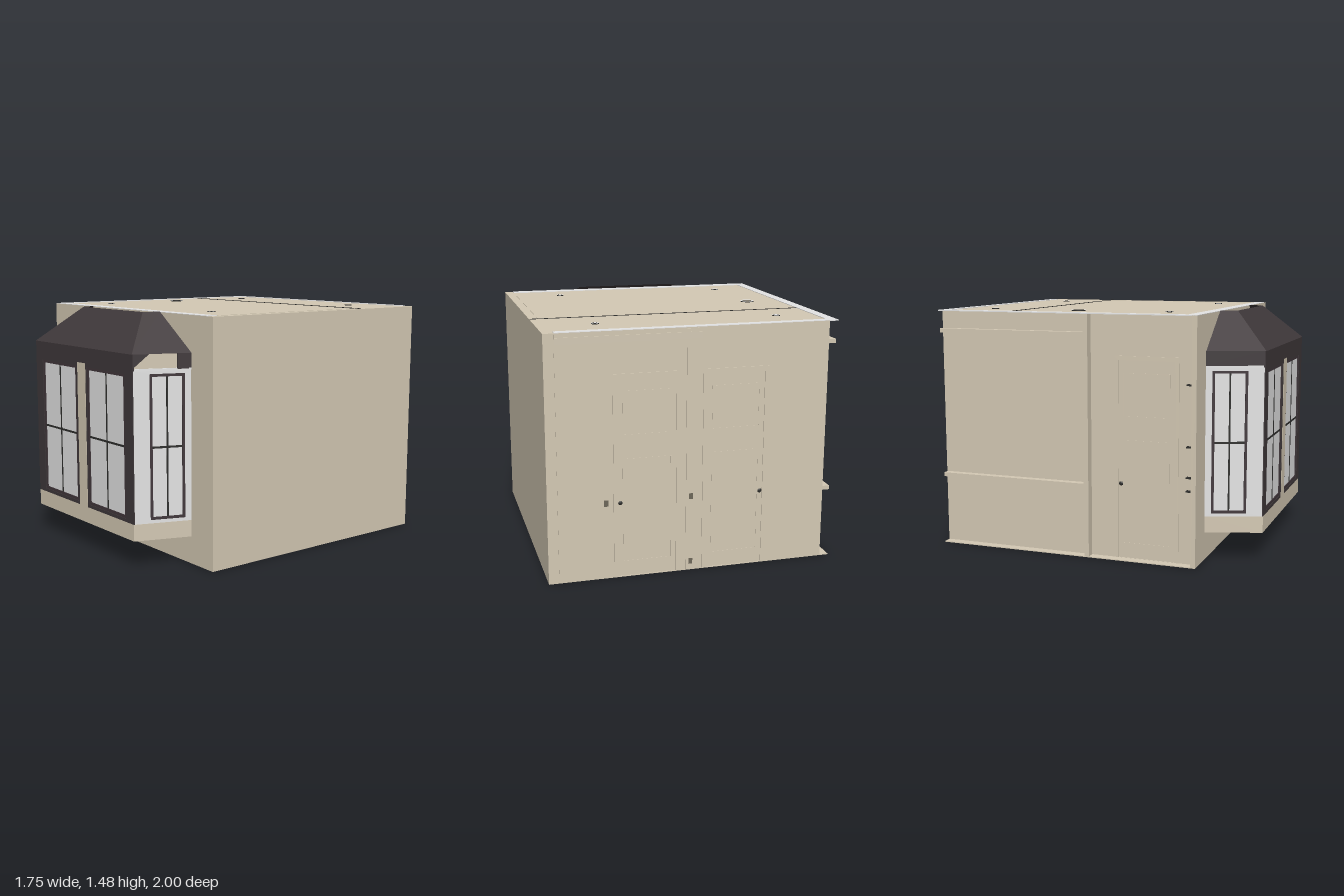
import * as THREE from 'three';

const mat = (name, color, side = THREE.FrontSide) => {
  const m = new THREE.MeshStandardMaterial({ color, side });
  m.name = name;
  return m;
};
const M = {
  wall: mat('tanWall', 0xd4c9b4),
  dark: mat('darkFrame', 0x3f383a, THREE.DoubleSide),
  sash: mat('sashBrown', 0x41373b),
  muntin: mat('muntinBlack', 0x2d2d2b, THREE.DoubleSide),
  grey: mat('lightGrey', 0xe4e4e4),
  white: mat('whiteTrim', 0xffffff),
  shade: mat('shadedTan', 0x6d6759),
};

function add(parent, name, geo, material, x = 0, y = 0, z = 0) {
  const mesh = new THREE.Mesh(geo, material);
  mesh.name = name;
  mesh.position.set(x, y, z);
  parent.add(mesh);
  return mesh;
}
// Box given by its low and high corners
function box(parent, name, m, x0, x1, y0, y1, z0, z1) {
  return add(parent, name, new THREE.BoxGeometry(x1 - x0, y1 - y0, z1 - z0), m,
    (x0 + x1) / 2, (y0 + y1) / 2, (z0 + z1) / 2);
}
// Upright prism over a plan outline of [x, z] points
function prism(parent, name, m, plan, y0, y1) {
  const s = new THREE.Shape(plan.map(([x, z]) => new THREE.Vector2(x, -z)));
  const g = new THREE.ExtrudeGeometry(s, { depth: y1 - y0, bevelEnabled: false });
  return add(parent, name, g.rotateX(-Math.PI / 2), m, 0, y0, 0);
}
const rectPoints = (x0, x1, y0, y1) =>
  [[x0, y0], [x1, y0], [x1, y1], [x0, y1]].map(p => new THREE.Vector2(...p));
// Flat plate in x, y with rectangular holes
function plate(parent, name, m, r, holes, depth, z) {
  const s = new THREE.Shape(rectPoints(...r));
  holes.forEach(h => s.holes.push(new THREE.Path(rectPoints(...h))));
  return add(parent, name, new THREE.ExtrudeGeometry(s, { depth, bevelEnabled: false }), m, 0, 0, z);
}
// Flat polygon faces from 3D corner loops
function faces(parent, name, m, loops) {
  const pos = [];
  loops.forEach(l => {
    for (let i = 1; i < l.length - 1; i++) pos.push(...l[0], ...l[i], ...l[i + 1]);
  });
  const g = new THREE.BufferGeometry();
  g.setAttribute('position', new THREE.Float32BufferAttribute(pos, 3));
  g.computeVertexNormals();
  return add(parent, name, g, m);
}

// Four-pane window facing local +z
function windowUnit(parent, name, x0, x1, y0, y1, z, b) {
  const g = new THREE.Group();
  g.name = name;
  const cx = (x0 + x1) / 2, cy = (y0 + y1) / 2;
  box(g, 'glass', M.grey, x0, x1, y0, y1, z, z + 0.003);
  plate(g, 'sash', M.sash, [x0, x1, y0, y1], [[x0 + b, x1 - b, y0 + b, y1 - b]], 0.009, z);
  box(g, 'verticalMuntin', M.muntin, cx - 0.005, cx + 0.005, y0 + b, y1 - b, z, z + 0.006);
  box(g, 'horizontalMuntin', M.muntin, x0 + b, x1 - b, cy - 0.006, cy + 0.006, z, z + 0.006);
  parent.add(g);
}

// Two-panel door facing local +z, standing near y = 0
function door(parent, name, cx, knobSide) {
  const g = new THREE.Group();
  g.name = name;
  const w = 0.2, h = 1.23;
  plate(g, 'casing', M.wall, [-w, w, 0.009, h],
    [[-w + 0.025, w - 0.025, 0.01, h - 0.025]], 0.005, 0);
  for (const [a, b] of [[0.1, 0.73], [0.87, 1.13]])
    plate(g, 'panelMoulding', M.wall, [-0.145, 0.145, a, b], [[-0.141, 0.141, a + 0.004, b - 0.004]], 0.002, 0);
  add(g, 'knob', new THREE.SphereGeometry(0.013, 12, 8), M.muntin, knobSide * 0.16, 0.465, 0).scale.z = 0.45;
  g.position.x = cx;
  parent.add(g);
}

export function createModel() {
  const root = new THREE.Group();
  root.name = 'roomWithBayWindow';

  // Room shell: side wall set back behind the floor, ceiling and front wall edges
  box(root, 'roomShell', M.wall, -0.82, 0.873, 0.004, 1.476, -0.994, 0.66);
  box(root, 'frontWall', M.wall, -0.875, 0.873, 0.003, 1.476, 0.64, 0.67);
  box(root, 'floorSlab', M.wall, -0.875, 0.873, 0.003, 0.008, -0.994, 0.67);

  // Ceiling: exposed wall tops, seam and fittings
  const top = new THREE.Group();
  top.name = 'ceilingDetails';
  root.add(top);
  box(top, 'leftWallTop', M.grey, -0.875, -0.815, 1.473, 1.479, -0.994, 0.67);
  box(top, 'backWallTop', M.grey, -0.815, 0.81, 1.473, 1.479, -0.994, -0.945);
  box(top, 'frontWallTop', M.grey, -0.815, 0.82, 1.473, 1.479, 0.6, 0.67);
  add(top, 'ceilingSeam', new THREE.PlaneGeometry(1.69, 0.004), M.muntin, 0.027, 1.478, -0.51);
  box(top, 'sideSeam', M.wall, 0.817, 0.821, 1.473, 1.478, -0.51, 0.6);
  // Ring lying on the ceiling with a short dark wall around it
  const fitting = (name, r0, r1, x, z) => {
    add(top, name, new THREE.RingGeometry(r0, r1, 24).rotateX(-Math.PI / 2), M.grey, x, 1.481, z);
    add(top, name + 'Wall', new THREE.CylinderGeometry(r1, r1, 0.005, 24, 1, true), M.muntin, x, 1.4785, z);
  };
  for (const x of [-0.58, 0.53]) for (const z of [-0.75, 0.41]) {
    fitting('downlightRing', 0.014, 0.023, x, z);
    fitting('downlightCentre', 0, 0.008, x, z);
  }
  fitting('ventRing', 0.032, 0.044, -0.61, -0.165);

  // Underside: floor panel, seam and small fixings
  const floor = new THREE.Group();
  floor.name = 'floorDetails';
  root.add(floor);
  prism(floor, 'floorPanel', M.grey, [[0.73, -0.38], [-0.87, -0.38], [-0.87, -0.985]], 0.002, 0.004);
  box(floor, 'floorSeam', M.shade, -0.87, 0.87, 0.002, 0.004, -0.38, -0.376);
  for (const [x, z] of [[0.78, -0.51], [0.78, 0.1], [-0.18, -0.47], [-0.17, 0.14]]) {
    box(floor, 'fixingBar', M.muntin, x - 0.008, x + 0.008, 0, 0.006, z - 0.06, z + 0.06);
    box(floor, 'fixingHead', M.muntin, x - 0.025, x + 0.025, 0, 0.006, z - 0.06, z - 0.025);
  }

  // Back wall, built facing +z then turned (local x is mirrored)
  const back = new THREE.Group();
  back.name = 'backWall';
  back.rotation.y = Math.PI;
  back.position.z = -0.994;
  root.add(back);
  door(back, 'backDoorA', -0.285, -1);
  door(back, 'backDoorB', 0.25, 1);
  box(back, 'partitionEnd', M.wall, -0.05, 0.02, 0.009, 1.47, 0, 0.005);
  box(back, 'cornerLine', M.wall, -0.812, -0.808, 0.009, 1.472, 0, 0.004);
  box(back, 'topBeam', M.wall, -0.81, 0.04, 1.41, 1.45, 0, 0.006);
  for (const [x, y] of [[-0.53, 0.47], [-0.02, 0.47], [-0.02, 0.06]])
    box(back, 'switchPlate', M.shade, x - 0.012, x + 0.012, y - 0.018, y + 0.018, 0, 0.006);

  // Side wall with one door (local x equals z, local z points outward)
  const side = new THREE.Group();
  side.name = 'sideWall';
  side.rotation.y = -Math.PI / 2;
  side.position.x = -0.82;
  root.add(side);
  door(side, 'sideDoor', 0.35, -1);
  box(side, 'partitionStub', M.wall, -0.03, 0, 0.008, 1.473, 0, 0.054);
  for (const y of [1.34, 0.43])
    box(side, 'wallRail', M.wall, -0.99, -0.03, y, y + 0.025, 0, 0.045);
  for (const y of [0.46, 0.54, 0.72, 1.08])
    box(side, 'wallBracket', M.muntin, 0.61, 0.64, y - 0.004, y + 0.004, 0.03, 0.058);

  // Bay body in stacked layers
  const bay = new THREE.Group();
  bay.name = 'bayWindow';
  root.add(bay);
  const plan = (front, inset = 0) => [[-0.683 + inset, 0.66], [0.675 - inset, 0.66],
    [0.552 - inset, front], [-0.565 + inset, front]];
  prism(bay, 'bayBase', M.wall, plan(0.998), 0.17, 0.27);
  prism(bay, 'bayCore', M.grey, plan(0.984, 0.011), 0.27, 1.165);
  prism(bay, 'bayTrim', M.white, plan(0.986, -0.003), 1.163, 1.176);
  prism(bay, 'bayHead', M.wall, plan(0.984, 0.004), 1.175, 1.26);

  // Front frame with two windows and a centre post
  const openings = [[-0.487, -0.068, 0.29, 1.143], [0.053, 0.47, 0.29, 1.143]];
  plate(bay, 'frontFrame', M.dark, [-0.568, 0.552, 0.27, 1.26], openings, 0.014, 0.984);
  openings.forEach(o => windowUnit(bay, 'frontWindow', ...o, 0.985, 0.017));
  box(bay, 'centrePost', M.wall, -0.05, 0.042, 0.27, 1.165, 0.985, 1.0);

  // Angled side walls: recessed window and fascia (local x runs back from the front corner)
  for (const s of [1, -1]) {
    const facet = new THREE.Group();
    facet.name = s > 0 ? 'leftFacet' : 'rightFacet';
    facet.position.set(-0.008 + s * 0.56, 0, 0.992);
    facet.rotation.y = s * 1.217;
    bay.add(facet);
    const span = (a, b) => (s > 0 ? [a, b] : [-b, -a]);
    const opening = [...span(0.095, 0.305), 0.29, 1.145];
    plate(facet, 'surround', M.grey, [...span(0, 0.345), 0.27, 1.165], [opening], 0.01, -0.01);
    windowUnit(facet, 'sideWindow', ...opening, -0.009, 0.016);
    if (s < 0) {
      box(facet, 'fascia', M.dark, ...span(0, 0.345), 1.175, 1.26, -0.005, 0.002);
    } else {
      box(facet, 'fasciaEnd', M.dark, 0.26, 0.345, 1.17, 1.26, -0.005, 0.003);
      faces(facet, 'fasciaCorner', M.dark, [[[0, 1.18, 0.002], [0.095, 1.26, 0.002], [0, 1.26, 0.002]]]);
    }
  }

  // Hipped roof shell, open at the top
  const eL = [-0.568, 1.26, 1], eR = [0.553, 1.26, 1], bL = [-0.685, 1.26, 0.67], bR = [0.675, 1.26, 0.67];
  const tL = [-0.345, 1.48, 0.77], tR = [0.33, 1.48, 0.77], wL = [-0.382, 1.48, 0.67], wR = [0.365, 1.48, 0.67];
  faces(bay, 'bayRoof', M.dark, [[eL, eR, tR, tL], [eR, bR, wR, tR], [bL, eL, tL, wL]]);
  // Bay ceiling seen through the open top
  prism(bay, 'bayCeiling', M.shade, [[-0.34, 0.78], [0.33, 0.78], [0.235, 0.67], [-0.25, 0.67]], 1.258, 1.266);
  return root;
}
